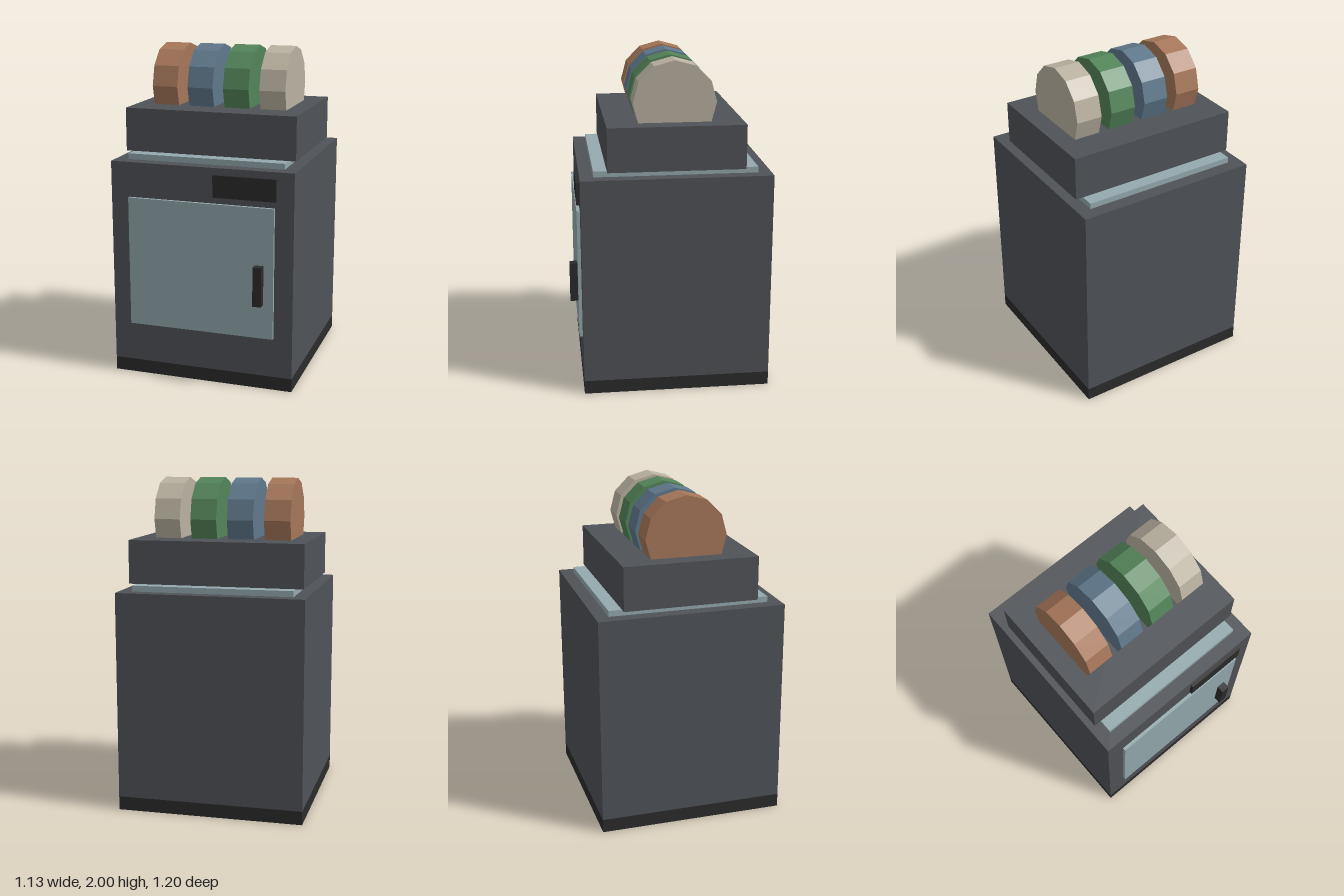
import * as THREE from 'three';

const flat = (name, color) => {
  const m = new THREE.MeshStandardMaterial({ color, flatShading: true });
  m.name = name;
  return m;
};

export function createModel() {
  const model = new THREE.Group();
  model.name = 'enclosedPrinter';

  const charcoal = flat('charcoal', 0x4f5257);
  const black = flat('black', 0x2b2b2b);
  const glass = flat('paleGlass', 0x94a9ae);

  // Box given by its extents along each axis
  const box = (name, material, [x0, x1], [y0, y1], [z0, z1]) => {
    const mesh = new THREE.Mesh(new THREE.BoxGeometry(x1 - x0, y1 - y0, z1 - z0), material);
    mesh.position.set((x0 + x1) / 2, (y0 + y1) / 2, (z0 + z1) / 2);
    mesh.name = name;
    model.add(mesh);
  };

  // Cabinet
  box('base', black, [-0.567, 0.567], [0, 0.083], [-0.6, 0.533]);
  box('cabinet', charcoal, [-0.567, 0.567], [0.083, 1.34], [-0.6, 0.533]);

  // Front fittings
  box('door', glass, [-0.453, 0.453], [0.328, 1.127], [0.533, 0.553]);
  box('doorHandle', black, [0.34, 0.393], [0.54, 0.78], [0.553, 0.6]);
  box('display', black, [0.08, 0.463], [1.167, 1.3], [0.533, 0.553]);

  // Lid and the spool feeder on it
  box('lid', glass, [-0.487, 0.487], [1.34, 1.375], [-0.52, 0.453]);
  box('feederBox', charcoal, [-0.533, 0.533], [1.375, 1.638], [-0.44, 0.373]);

  // Row of twelve-sided spools, partly sunk into the feeder
  const spoolGeometry = new THREE.CylinderGeometry(0.246, 0.246, 0.16, 12).rotateZ(Math.PI / 2);
  const spoolColors = [
    ['copper', 0xa6775a], ['blue', 0x5f788b], ['green', 0x538459], ['cream', 0xbab2a1],
  ];
  spoolColors.forEach(([name, color], i) => {
    const spool = new THREE.Mesh(spoolGeometry, flat(name, color));
    spool.name = name + 'Spool';
    spool.position.set((i - 1.5) * 0.2267, 1.754, -0.033);
    model.add(spool);
  });

  return model;
}
